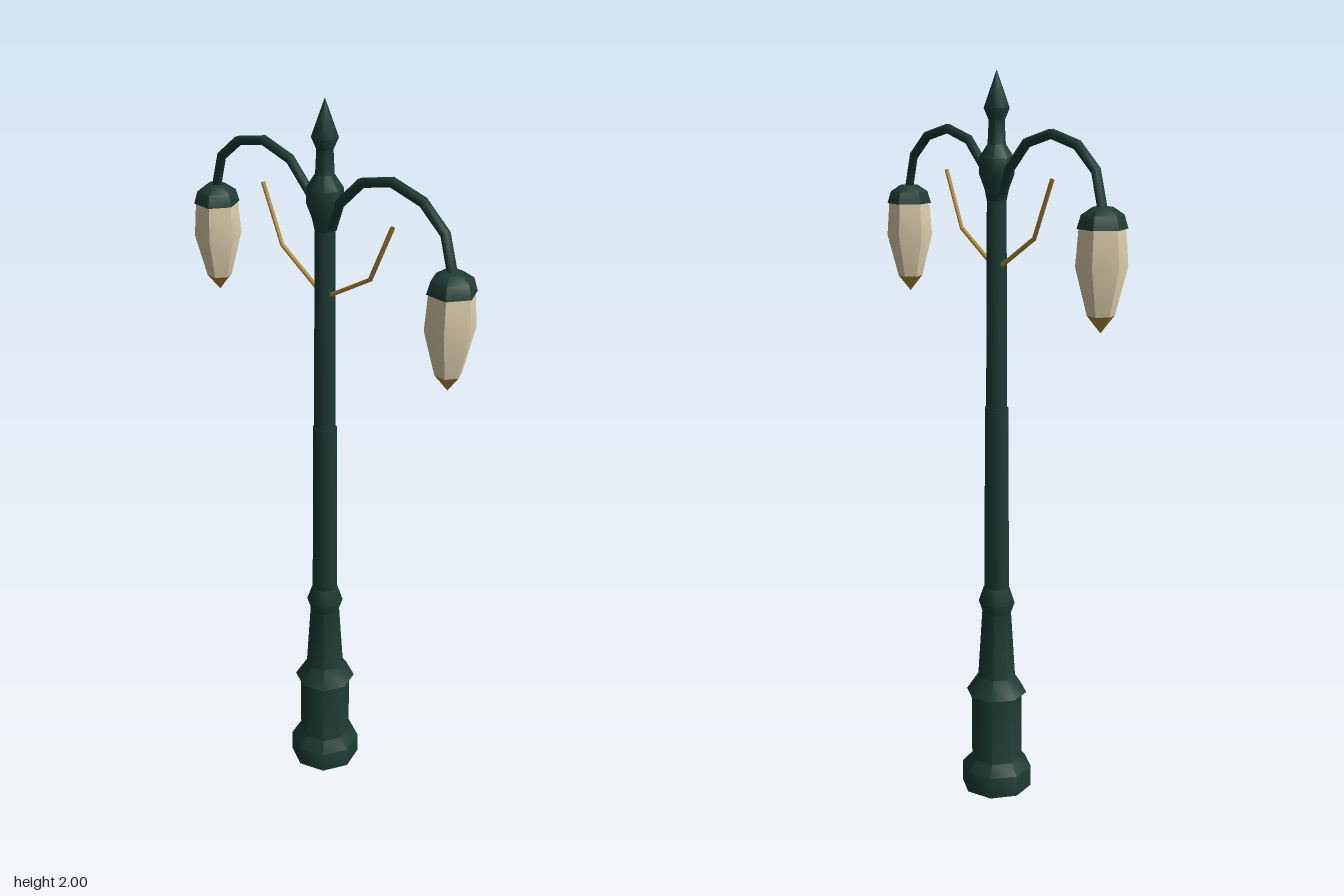
import * as THREE from 'three';
import { toCreasedNormals } from 'three/addons/utils/BufferGeometryUtils.js';

const material = (name, color) => {
  const m = new THREE.MeshStandardMaterial({ color });
  m.name = name;
  return m;
};

// Curve that keeps its corners: one tube ring on each given point
class Polyline extends THREE.Curve {
  constructor(points) {
    super();
    this.points = points.map(([x, y]) => new THREE.Vector3(x, y, 0));
  }
  getPointAt(u, target = new THREE.Vector3()) {
    const p = this.points, f = u * (p.length - 1);
    const i = Math.min(Math.floor(f), p.length - 2);
    return target.lerpVectors(p[i], p[i + 1], f - i);
  }
  getTangentAt(u, target = new THREE.Vector3()) {
    const p = this.points, n = p.length - 1, i = Math.round(u * n);
    target.set(0, 0, 0);
    if (i > 0) target.add(p[i].clone().sub(p[i - 1]).normalize());
    if (i < n) target.add(p[i + 1].clone().sub(p[i]).normalize());
    return target.normalize();
  }
}

// Profiles run from bottom to top so that faces point outward
function turned(name, profile, sides, mat, start = 0) {
  const points = profile.map(([r, y]) => new THREE.Vector2(r, y));
  const geo = new THREE.LatheGeometry(points, sides, start);
  const mesh = new THREE.Mesh(toCreasedNormals(geo, 0.85), mat);
  mesh.name = name;
  return mesh;
}

function rod(name, points, radius, mat) {
  const geo = new THREE.TubeGeometry(new Polyline(points), points.length - 1, radius, 6);
  const mesh = new THREE.Mesh(geo, mat);
  mesh.name = name;
  return mesh;
}

export function createModel() {
  const green = material('dark green paint', 0x1d3b33);
  const glass = material('cream glass', 0xe0d2ae);
  const brass = material('brass', 0xb8913f);
  brass.side = THREE.DoubleSide;

  const model = new THREE.Group();
  model.name = 'streetLamp';

  // Stepped base, tapering post and finial
  model.add(
    turned('base', [[0, 0], [0.1, 0], [0.1, 0.06], [0.072, 0.09], [0.072, 0.285],
      [0.086, 0.29], [0.053, 0.34], [0.041, 0.53], [0.051, 0.56], [0.036, 0.605], [0, 0.605]], 8, green),
    turned('post', [[0.035, 0.6], [0.032, 1.12], [0.029, 1.12], [0.026, 1.7]], 8, green),
    turned('finial', [[0.026, 1.67], [0.032, 1.7], [0.047, 1.74], [0.047, 1.78], [0.024, 1.815],
      [0.021, 1.875], [0.034, 1.905], [0.018, 1.95], [0, 2]], 8, green),
  );

  // Two opposite sides, each with an arm, a brace and a hanging lantern
  for (const [side, angle] of [['left', 0], ['right', Math.PI]]) {
    const half = new THREE.Group();
    half.name = side + 'Side';
    half.rotation.y = angle;

    half.add(
      rod('arm', [[0.025, 1.68], [0.052, 1.75], [0.13, 1.822], [0.232, 1.848],
        [0.335, 1.825], [0.408, 1.768], [0.438, 1.67]], 0.013, green),
      rod('brace', [[0.01, 1.497], [0.165, 1.587], [0.238, 1.738]], 0.006, brass),
    );

    const lantern = new THREE.Group();
    lantern.name = 'lantern';
    lantern.position.x = 0.436;
    const hex = Math.PI / 2;
    lantern.add(
      turned('cap', [[0, 1.635], [0.062, 1.635], [0.052, 1.668], [0.025, 1.686], [0, 1.686]], 6, green, hex),
      turned('glassShade', [[0.034, 1.428], [0.064, 1.545], [0.057, 1.638]], 6, glass, hex),
      turned('tip', [[0, 1.385], [0.034, 1.428]], 6, brass, hex),
    );
    half.add(lantern);
    model.add(half);
  }
  return model;
}
